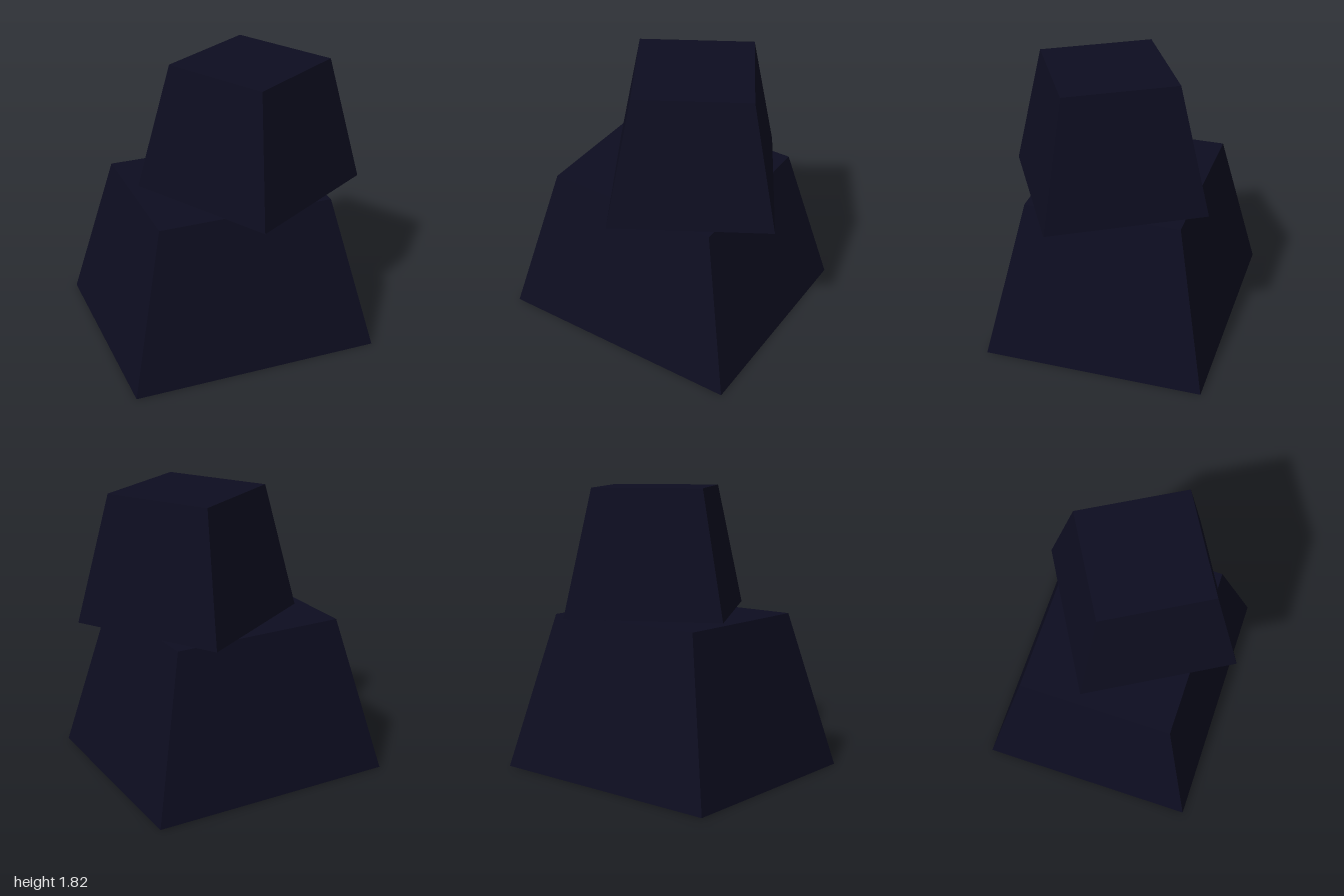
import * as THREE from 'three';

const darkNavy = new THREE.MeshStandardMaterial({ color: 0x0d0d20 });
darkNavy.name = 'darkNavy';

// Box standing on y = 0 whose top is scaled down by the taper
function taperedBlock(name, width, height, depth, taper) {
  const geometry = new THREE.BoxGeometry(width, height, depth).translate(0, height / 2, 0);
  const p = geometry.attributes.position;
  for (let i = 0; i < p.count; i++) {
    if (p.getY(i) > height / 2) p.setXYZ(i, p.getX(i) * taper, p.getY(i), p.getZ(i) * taper);
  }
  geometry.computeVertexNormals();
  const mesh = new THREE.Mesh(geometry, darkNavy);
  mesh.name = name;
  return mesh;
}

export function createModel() {
  const model = new THREE.Group();
  model.name = 'stackedBlocks';

  // Wide lower block
  const lower = taperedBlock('lowerBlock', 1.61, 1.01, 1.41, 0.7);
  lower.rotation.y = THREE.MathUtils.degToRad(20);
  model.add(lower);

  // Smaller upper block, shifted to the left and turned so its corners overhang
  const upper = taperedBlock('upperBlock', 1.005, 0.81, 1.005, 0.7);
  upper.position.set(0.2, 1.01, 0);
  upper.rotation.y = THREE.MathUtils.degToRad(-40);
  model.add(upper);

  return model;
}
